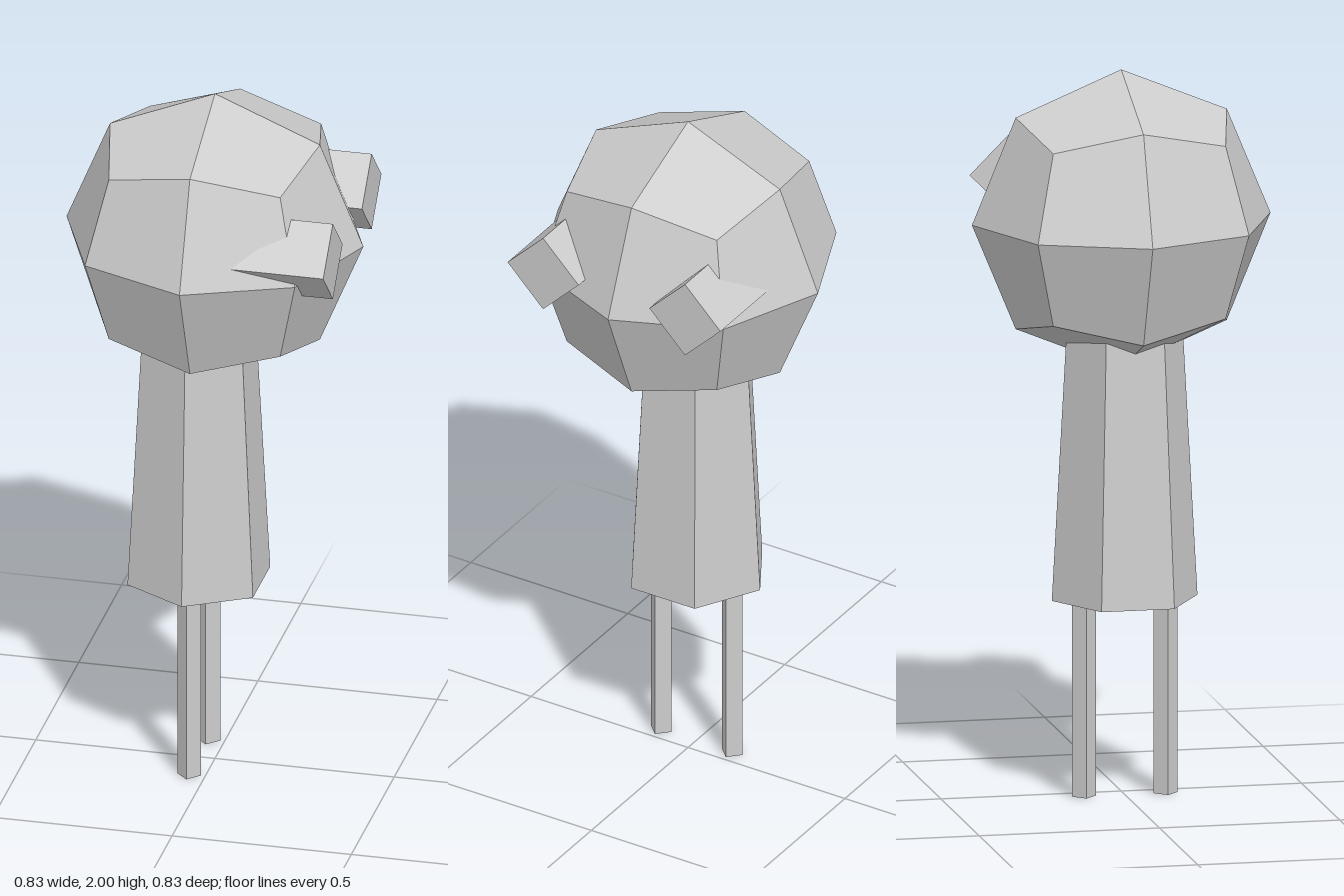
import * as THREE from 'three';

const grey = new THREE.MeshStandardMaterial({ color: 0xcccccc });

// Adds a faceted mesh with one normal per face
function addPart(group, name, geometry, x, y, z) {
  const flat = geometry.index ? geometry.toNonIndexed() : geometry;
  flat.computeVertexNormals();
  const mesh = new THREE.Mesh(flat, grey);
  mesh.name = name;
  mesh.position.set(x, y, z);
  group.add(mesh);
  return mesh;
}

// Box with 2 x 2 quads per side, pushed out onto a sphere
function quadSphere(radius) {
  const box = new THREE.BoxGeometry(2, 2, 2, 2, 2, 2);
  const pos = box.attributes.position;
  const v = new THREE.Vector3();
  for (let i = 0; i < pos.count; i++) {
    v.fromBufferAttribute(pos, i).setLength(radius);
    pos.setXYZ(i, v.x, v.y, v.z);
  }
  // Split each quad along its other diagonal
  const index = [];
  for (let i = 0; i < box.index.count; i += 6) {
    const [a, b, d, , c] = box.index.array.slice(i, i + 6);
    index.push(a, b, c, a, c, d);
  }
  box.setIndex(index);
  return box.toNonIndexed();
}

// Both triangles of a quad share one normal, so it shades as a single facet
function shareQuadNormals(geometry) {
  const n = geometry.attributes.normal;
  const p = new THREE.Vector3(), q = new THREE.Vector3();
  for (let i = 0; i < n.count; i += 6) {
    p.fromBufferAttribute(n, i).add(q.fromBufferAttribute(n, i + 3)).normalize();
    for (let k = 0; k < 6; k++) n.setXYZ(i + k, p.x, p.y, p.z);
  }
}

export function createModel() {
  const model = new THREE.Group();
  model.name = 'roundHeadedFigure';
  const axisX = -0.045; // body and legs sit slightly off the head's centre

  const head = addPart(model, 'head', quadSphere(0.414), 0, 1.586, 0);
  shareQuadNormals(head.geometry);

  // Tapered six-sided body, its top hidden in the head
  addPart(model, 'body', new THREE.CylinderGeometry(0.155, 0.202, 0.855, 6), axisX, 0.9725, 0);

  for (const side of [1, -1]) {
    const prefix = side > 0 ? 'front' : 'back';
    // Diamond-section leg
    addPart(model, prefix + 'Leg', new THREE.CylinderGeometry(0.033, 0.033, 0.6, 4), axisX, 0.3, side * 0.113);
    // Diamond-section eye stalk pointing along +x
    const eye = new THREE.BoxGeometry(0.283, 0.16, 0.16).rotateX(Math.PI / 4);
    addPart(model, prefix + 'Eye', eye, 0.2415, 1.643, side * 0.226);
  }
  return model;
}
